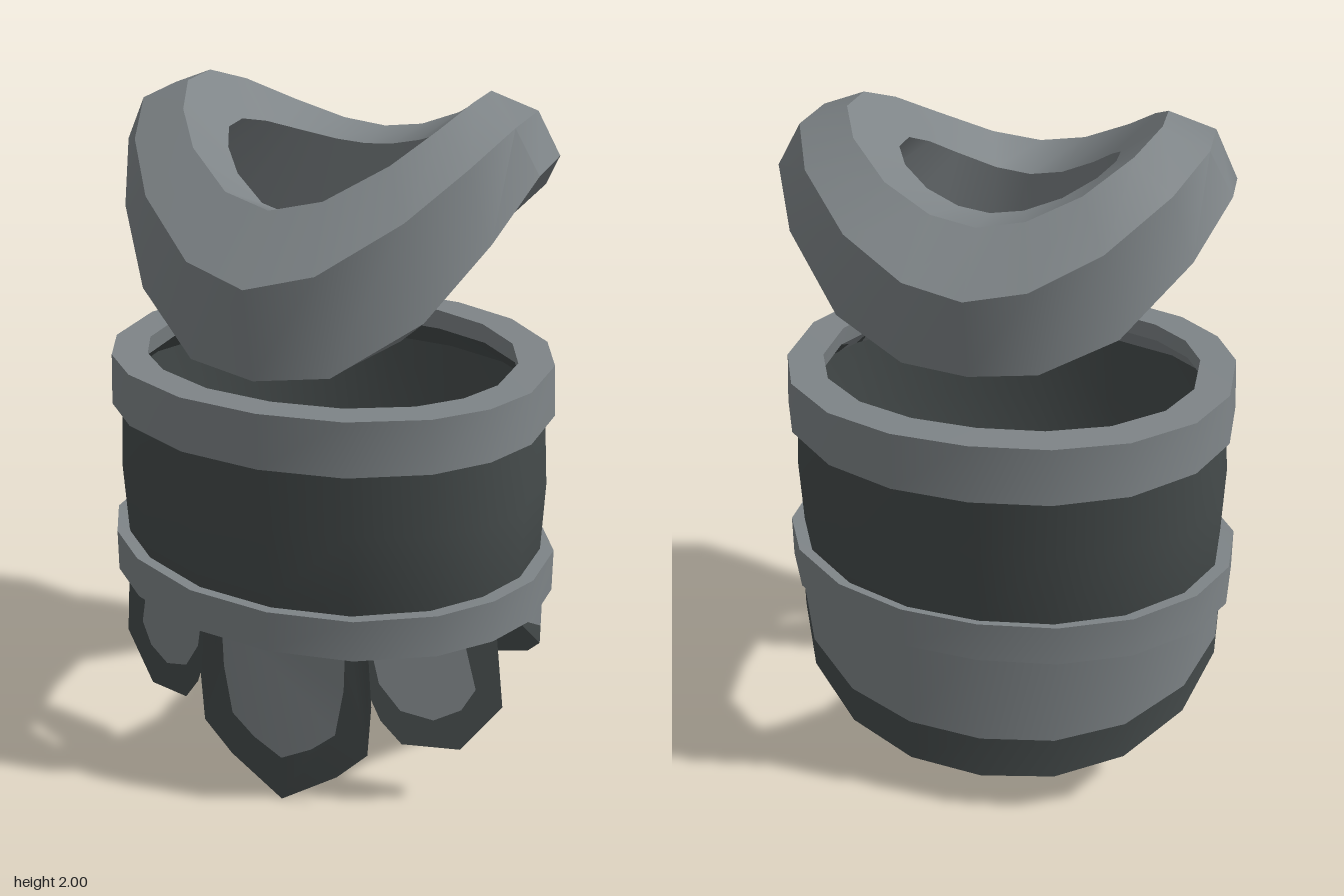
import * as THREE from 'three';
import { toCreasedNormals } from 'three/addons/utils/BufferGeometryUtils.js';

const steel = new THREE.MeshStandardMaterial({ color: 0x7e8487, side: THREE.DoubleSide });
steel.name = 'light steel';
const dark = new THREE.MeshStandardMaterial({ color: 0x454b4b, side: THREE.DoubleSide });
dark.name = 'dark steel';

// Angles around the body in degrees from the front, mirrored to a full turn
const half = [0, 20, 42, 60, 78, 100, 120, 142, 162, 180];
const fullTurn = [...half, ...half.slice(0, -1).reverse().map((a) => 360 - a)];

// Oval ring: side, front and back radii; heights at front, side and back; rise sharpness; z shift at the sides
function ring(rx, rf, rb, yf, ys, yb, rise = 2, shift = 0, round = 0.93) {
  return (t) => {
    const s = Math.sin(t), c = Math.cos(t);
    const sup = (v) => Math.sign(v) * Math.pow(Math.abs(v), round);
    const y0 = c > 0 ? yf : yb;
    return [
      rx * sup(s),
      y0 + (ys - y0) * Math.pow(Math.abs(s), rise),
      (c > 0 ? rf : rb) * sup(c) + shift * s * s,
    ];
  };
}

// Surface swept through a list of rings at the given angles
function loft(name, material, rings, closed, angles = fullTurn) {
  const pos = [], index = [], n = rings.length;
  for (const a of angles) rings.forEach((r) => pos.push(...r(THREE.MathUtils.degToRad(a))));
  for (let i = 0; i < angles.length - 1; i++) {
    for (let j = 0; j < (closed ? n : n - 1); j++) {
      const k = (j + 1) % n;
      const a = i * n + j, b = (i + 1) * n + j, c = (i + 1) * n + k, d = i * n + k;
      index.push(a, b, c, a, c, d);
    }
  }
  const g = new THREE.BufferGeometry();
  g.setAttribute('position', new THREE.Float32BufferAttribute(pos, 3));
  g.setIndex(index);
  const mesh = new THREE.Mesh(toCreasedNormals(g, 0.55), material);
  mesh.name = name;
  return mesh;
}

// Hanging plate: dark rim around a light panel, bent by a depth rule
function tasset(name, outer, inner, depth) {
  const group = new THREE.Group();
  group.name = name;
  const toPoints = (list) => list.map(([x, y]) => new THREE.Vector2(x, y));
  const rim = new THREE.Shape(toPoints(outer));
  rim.holes.push(new THREE.Path(toPoints(inner)));
  const panel = new THREE.Shape(toPoints(inner));
  [[rim, dark, 'Rim'], [panel, steel, 'Panel']].forEach(([shape, material, part]) => {
    const g = new THREE.ShapeGeometry(shape);
    const p = g.attributes.position;
    for (let i = 0; i < p.count; i++) p.setZ(i, depth(p.getX(i)));
    g.computeVertexNormals();
    const mesh = new THREE.Mesh(g, material);
    mesh.name = name + part;
    group.add(mesh);
  });
  return group;
}

export function createModel() {
  const model = new THREE.Group();
  model.name = 'waistArmour';

  // Saddle-shaped collar floating above the waist, with a broad top face and an undercut inside
  model.add(loft('collar', steel, [
    ring(0.45, 0.37, 0.39, 1.32, 1.765, 1.42, 4, -0.07, 1.06),
    ring(0.605, 0.52, 0.53, 1.355, 1.86, 1.47, 3, -0.06, 1.06),
    ring(0.54, 0.57, 0.575, 1.61, 1.965, 1.69, 2, -0.05, 1.06),
    ring(0.415, 0.41, 0.42, 1.77, 2.01, 1.82, 2, -0.05, 1.06),
    ring(0.292, 0.26, 0.265, 1.72, 1.89, 1.80, 2, -0.02, 1.06),
  ], true));

  // Open waist tube
  model.add(loft('waist', dark, [
    ring(0.60, 0.42, 0.43, 0.6, 0.64, 0.6),
    ring(0.62, 0.44, 0.445, 0.7, 0.72, 0.7),
    ring(0.627, 0.463, 0.475, 0.92, 0.92, 0.92),
    ring(0.61, 0.472, 0.50, 1.15, 1.15, 1.15),
    ring(0.54, 0.42, 0.445, 1.21, 1.215, 1.22),
  ], false));

  // Upper and lower bands
  model.add(loft('upperBand', steel, [
    ring(0.638, 0.505, 0.54, 1.105, 1.125, 1.115),
    ring(0.63, 0.508, 0.54, 1.262, 1.27, 1.28),
    ring(0.53, 0.415, 0.44, 1.262, 1.27, 1.28),
    ring(0.54, 0.42, 0.445, 1.21, 1.215, 1.22),
  ], true));
  model.add(loft('lowerBand', steel, [
    ring(0.66, 0.463, 0.46, 0.545, 0.595, 0.56),
    ring(0.66, 0.463, 0.46, 0.665, 0.72, 0.68),
    ring(0.60, 0.41, 0.41, 0.665, 0.72, 0.68),
    ring(0.60, 0.41, 0.41, 0.545, 0.595, 0.56),
  ], true));

  // Slanted back skirt with a tapering dark hem
  const plan = ring(0.635, 0.43, 0.435, 0, 0, 0);
  const slant = (hem) => (t) => {
    const [x, , z] = plan(t);
    const k = Math.max(0, (0.13 - z) / 0.565);
    return [x, 0.59 - 0.46 * k + hem * (0.01 + 0.125 * k), z];
  };
  const top = (t) => { const [x, , z] = plan(t); return [x, 0.615, z]; };
  const backArc = fullTurn.filter((a) => a > 70 && a < 290);
  model.add(loft('backSkirt', steel, [slant(1), top], false, backArc));
  model.add(loft('backSkirtHem', dark, [slant(0), slant(1)], false, backArc));

  // Front tasset
  model.add(tasset('frontTasset',
    [[-0.25, 0.6], [-0.265, 0.36], [-0.255, 0.2], [-0.165, 0.11], [0, 0.005],
      [0.165, 0.11], [0.255, 0.2], [0.265, 0.36], [0.25, 0.6], [0, 0.6]],
    [[-0.19, 0.59], [-0.185, 0.4], [-0.16, 0.25], [-0.09, 0.19], [0, 0.145],
      [0.09, 0.19], [0.16, 0.25], [0.185, 0.4], [0.19, 0.59]],
    (x) => 0.375 - 0.1 * Math.abs(x)));

  // Side tassets
  for (const [side, s] of [['left', 1], ['right', -1]]) {
    const flip = (list) => list.map(([x, y]) => [x * s, y]);
    model.add(tasset(side + 'Tasset',
      flip([[0.235, 0.6], [0.26, 0.38], [0.285, 0.31], [0.34, 0.23], [0.49, 0.205],
        [0.595, 0.34], [0.57, 0.6]]),
      flip([[0.25, 0.59], [0.28, 0.43], [0.335, 0.34], [0.42, 0.305], [0.49, 0.335],
        [0.525, 0.4], [0.485, 0.59]]),
      (x) => 0.33 - 0.48 * (Math.abs(x) - 0.28)));
  }
  return model;
}
